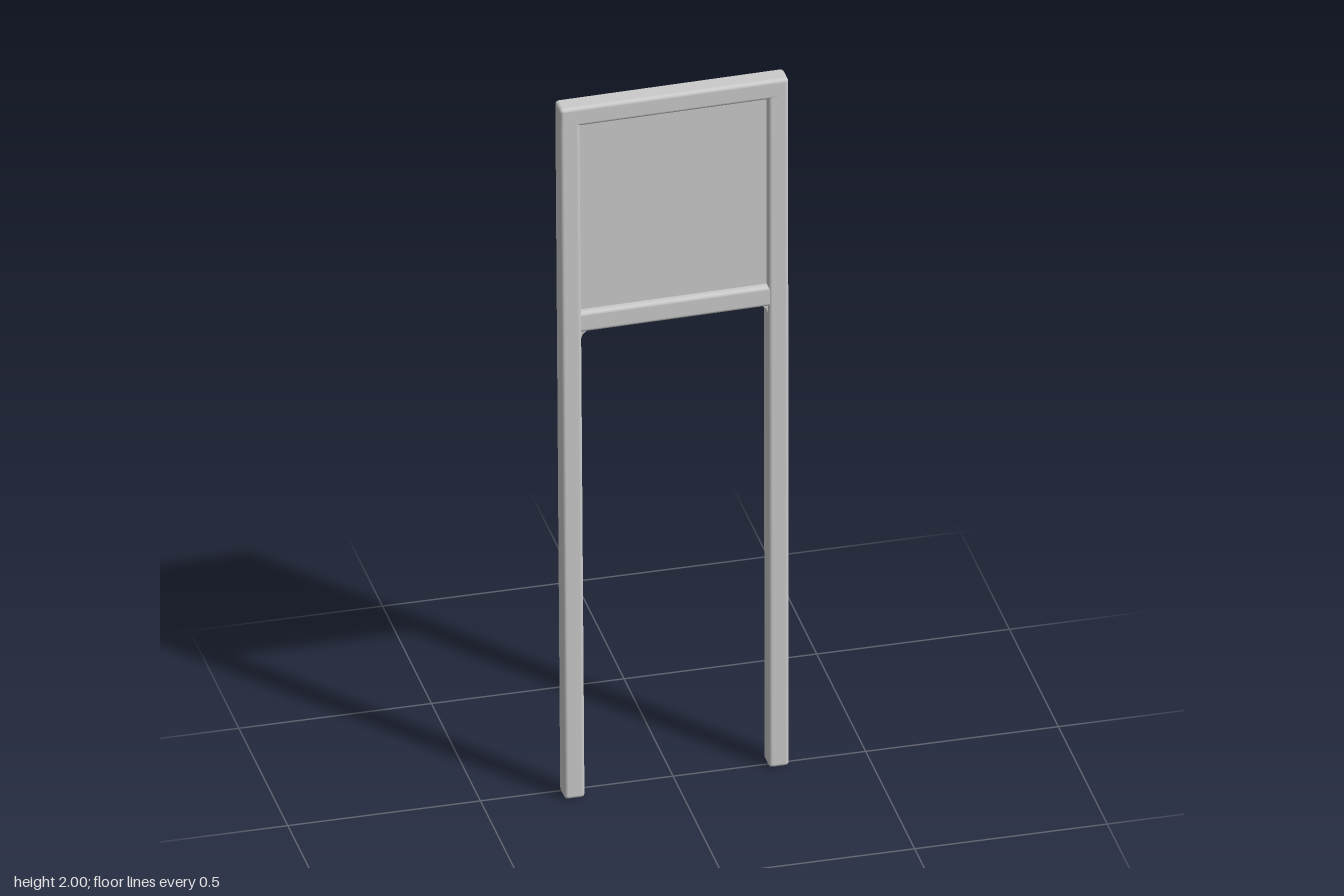
import * as THREE from 'three';
import { RoundedBoxGeometry } from 'three/addons/geometries/RoundedBoxGeometry.js';

const material = new THREE.MeshStandardMaterial({ color: 0xcccccc });

// Depth of the slightly turned board at a given x
const boardZ = (x) => -0.0065 - 0.02 * x;

// Move every vertex by a rule
function bend(geometry, rule) {
  const p = geometry.attributes.position;
  const v = new THREE.Vector3();
  for (let i = 0; i < p.count; i++) {
    rule(v.fromBufferAttribute(p, i));
    p.setXYZ(i, v.x, v.y, v.z);
  }
  geometry.computeBoundingSphere();
  return geometry;
}

export function createModel() {
  const group = new THREE.Group();
  const add = (name, geometry) => {
    const mesh = new THREE.Mesh(geometry, material);
    mesh.name = name;
    group.add(mesh);
  };

  // Upright post leaning from its foot to its top
  const post = (name, foot, top, width, depth) => {
    const g = new RoundedBoxGeometry(width, 2, depth, 3, 0.01);
    add(name, bend(g, (v) => {
      const t = (v.y + 1) / 2;
      v.x += foot[0] + (top[0] - foot[0]) * t;
      v.z += foot[1] + (top[1] - foot[1]) * t;
      v.y += 1;
    }));
  };
  post('rightPost', [-0.267, 0.022], [-0.274, boardZ(-0.274)], 0.053, 0.057);
  post('leftPost', [0.27, -0.005], [0.27, boardZ(0.27)], 0.053, 0.057);

  // Horizontal part that follows the turn of the board
  const rail = (name, x0, x1, y0, y1, depth, radius) => {
    const g = new RoundedBoxGeometry(x1 - x0, y1 - y0, depth, 3, radius);
    add(name, bend(g, (v) => {
      v.x += (x0 + x1) / 2;
      v.y += (y0 + y1) / 2;
      v.z += boardZ(v.x);
    }));
  };
  rail('topRail', -0.3, 0.296, 1.945, 2, 0.058, 0.01);
  rail('bottomRail', -0.28, 0.28, 1.342, 1.4, 0.056, 0.01);

  // Thin recessed panel
  rail('panel', -0.26, 0.255, 1.385, 1.96, 0.018, 0.002);

  // Curved gussets under the bottom rail
  for (const side of [-1, 1]) {
    const shape = new THREE.Shape();
    shape.moveTo(-0.01, 0.01);
    shape.lineTo(-0.01, -0.025);
    shape.lineTo(0, -0.025);
    shape.quadraticCurveTo(0.002, -0.002, 0.022, 0);
    shape.lineTo(0.022, 0.01);
    const g = new THREE.ExtrudeGeometry(shape, { depth: 0.044, bevelEnabled: false, curveSegments: 6 });
    if (side > 0) g.rotateY(Math.PI);
    g.translate(side * 0.244, 1.344, side * 0.022 + boardZ(side * 0.244));
    add(side < 0 ? 'rightGusset' : 'leftGusset', g);
  }

  // Small pegs on the back, near the top corners
  for (const x of [-0.272, 0.267]) {
    const g = new THREE.BoxGeometry(0.011, 0.014, 0.02);
    g.translate(x, 1.93, boardZ(x) - 0.03);
    add(x < 0 ? 'rightPeg' : 'leftPeg', g);
  }

  return group;
}
